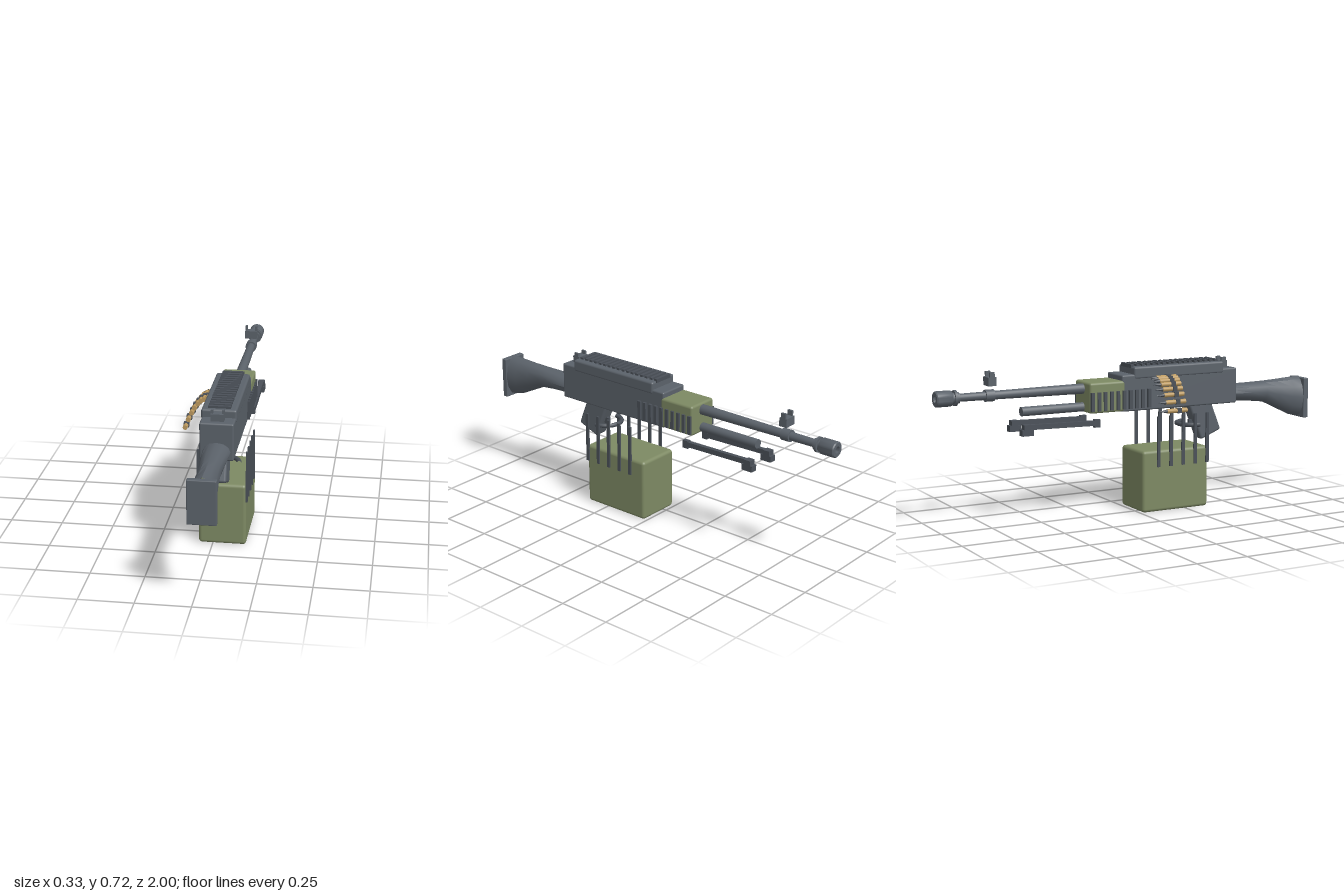
import * as THREE from 'three';
import { toCreasedNormals } from 'three/addons/utils/BufferGeometryUtils.js';
import { RoundedBoxGeometry } from 'three/addons/geometries/RoundedBoxGeometry.js';

const CX = 0.045; // centre line of the gun body

export function createModel() {
  const model = new THREE.Group();
  model.name = 'machineGun';
  const mat = (name, color) => {
    const m = new THREE.MeshStandardMaterial({ color });
    m.name = name;
    return m;
  };
  const gunmetal = mat('gunmetal', 0x5b626a);
  const darkSteel = mat('dark steel', 0x4a5058);
  const olive = mat('olive green', 0x7d8963);
  const brass = mat('brass', 0xbd9a5f);

  const add = (name, geo, material, x = 0, y = 0, z = 0, parent = model) => {
    const m = new THREE.Mesh(geo, material);
    m.name = name;
    m.position.set(x, y, z);
    parent.add(m);
    return m;
  };
  // box given by its ranges; r rounds the edges
  const block = (name, material, [x0, x1], [y0, y1], [z0, z1], r = 0, parent = model) => {
    const s = [x1 - x0, y1 - y0, z1 - z0];
    const geo = r ? new RoundedBoxGeometry(...s, 3, r) : new THREE.BoxGeometry(...s);
    return add(name, geo, material, (x0 + x1) / 2, (y0 + y1) / 2, (z0 + z1) / 2, parent);
  };
  // cylinder along z; rFront is the radius at the larger z
  const rod = (name, material, rFront, rBack, x, y, z0, z1, sides = 20, parent = model) => {
    const geo = new THREE.CylinderGeometry(rFront, rBack, z1 - z0, sides).rotateX(Math.PI / 2);
    return add(name, geo, material, x, y, (z0 + z1) / 2, parent);
  };
  const around = (h) => [CX - h, CX + h];

  // Body
  block('receiver', gunmetal, around(0.077), [0.497, 0.672], [-0.085, 0.557], 0.008);
  block('topCover', gunmetal, around(0.08), [0.65, 0.708], [-0.02, 0.48], 0.01);
  block('handguard', olive, around(0.08), [0.5, 0.646], [-0.257, -0.07], 0.012);

  // Rail ribs and cooling slats
  for (let i = 0; i < 17; i++) {
    const z = -0.015 + i * 0.0292;
    block('railRib', darkSteel, around(0.051), [0.7, 0.718], [z - 0.008, z + 0.008]);
  }
  for (let i = 0; i < 10; i++) {
    const z = 0.058 - i * 0.0337;
    block('coolingSlat', darkSteel, around(0.089), [0.51, 0.6], [z - 0.008, z + 0.008]);
  }

  // Sights: a base with two ears
  const sight = (name, z, y) => {
    const g = new THREE.Group();
    g.name = name;
    model.add(g);
    block('sightBase', gunmetal, around(0.03), [y, y + 0.04], [z - 0.02, z + 0.02], 0, g);
    for (const s of [-1, 1]) {
      const x = CX + s * 0.025;
      block('sightEar', gunmetal, [x - 0.005, x + 0.005], [y + 0.03, 0.722], [z - 0.012, z + 0.012], 0, g);
    }
  };
  sight('rearSight', 0.51, 0.665);
  sight('frontSight', -0.73, 0.658);

  // Barrel, collars, hollow muzzle and gas tube
  rod('barrel', gunmetal, 0.025, 0.018, CX, 0.612, -0.94, -0.24);
  rod('barrelCollar', gunmetal, 0.028, 0.028, CX, 0.612, -0.757, -0.714);
  rod('muzzleRing', gunmetal, 0.036, 0.036, CX, 0.612, -0.91, -0.898);
  rod('muzzleRing', gunmetal, 0.026, 0.026, CX, 0.612, -0.925, -0.885);
  const profile = [[0, 0.921], [0.034, 0.921], [0.037, 0.926], [0.037, 0.995], [0.033, 1],
    [0.016, 1], [0.016, 0.965], [0, 0.965]].map(([r, y]) => new THREE.Vector2(r, y));
  const muzzle = new THREE.LatheGeometry(profile, 24).rotateX(-Math.PI / 2);
  add('muzzle', toCreasedNormals(muzzle, 0.6), gunmetal, CX, 0.612, 0);
  rod('gasTube', gunmetal, 0.022, 0.022, CX, 0.525, -0.577, -0.24);

  // Folded bipod
  for (const s of [-1, 1]) {
    const x = CX + s * 0.072;
    const leg = block('bipodLeg', darkSteel, [x - 0.01, x + 0.01], [0.446, 0.47], [-0.57, -0.205]);
    leg.rotation.x = 0.02;
    block('bipodHinge', darkSteel, [x - 0.01, x + 0.01], [0.434, 0.472], [-0.235, -0.205]);
    block('bipodFoot', darkSteel, [x - 0.017, x + 0.017], [0.423, 0.452], [-0.61, -0.552]);
    block('bipodFootTop', darkSteel, [x - 0.017, x + 0.017], [0.45, 0.475], [-0.6, -0.565]);
  }

  // Stock: rings of z, half width, top, bottom
  const rings = [
    [0.53, 0.064, 0.582, 0.497], [0.66, 0.058, 0.583, 0.49], [0.76, 0.051, 0.585, 0.478],
    [0.84, 0.051, 0.589, 0.44], [0.92, 0.056, 0.594, 0.402], [0.98, 0.063, 0.597, 0.388],
  ];
  const stock = new THREE.CylinderGeometry(1, 1, 1, 12, rings.length - 1, true).rotateX(Math.PI / 2);
  const p = stock.attributes.position;
  for (let i = 0; i < p.count; i++) {
    const [z, w, top, bottom] = rings[Math.round((p.getZ(i) + 0.5) * (rings.length - 1))];
    p.setXYZ(i, p.getX(i) * w, (top + bottom) / 2 + p.getY(i) * (top - bottom) / 2, z);
  }
  add('stock', toCreasedNormals(stock, 0.65), gunmetal, CX);
  block('buttPlate', gunmetal, around(0.064), [0.387, 0.59], [0.972, 1], 0.004);

  // Grip, trigger and its guard
  const grip = add('grip', new RoundedBoxGeometry(0.07, 0.2, 0.123, 3, 0.012), gunmetal, CX, 0.433, 0.401);
  grip.rotation.x = -0.38;
  const guard = new THREE.TorusGeometry(0.075, 0.011, 8, 20, Math.PI).rotateX(-Math.PI / 2);
  add('triggerGuard', guard, darkSteel, CX, 0.402, 0.345);
  block('trigger', darkSteel, around(0.008), [0.39, 0.42], [0.325, 0.36]);

  // Ammunition box with side straps
  block('ammoBox', olive, around(0.111), [0, 0.302], [0.01, 0.373], 0.016);
  for (let i = 0; i < 5; i++) {
    const z = 0.366 - i * 0.068;
    for (const s of [-1, 1]) {
      const x = CX + s * 0.1135;
      block('boxStrap', darkSteel, [x - 0.0045, x + 0.0045], [0.22, 0.467], [z - 0.008, z + 0.008]);
    }
  }

  // Belt of cartridges hanging from the feed
  const belt = [[-0.049, 0.652], [-0.064, 0.648], [-0.079, 0.639], [-0.093, 0.624],
    [-0.109, 0.603], [-0.123, 0.577], [-0.139, 0.544], [-0.154, 0.504]];
  for (const [x, y] of belt) {
    const round = new THREE.Group();
    round.name = 'cartridge';
    model.add(round);
    rod('case', brass, 0.0115, 0.0105, x, y, 0.09, 0.198, 12, round);
    rod('bullet', darkSteel, 0.009, 0.001, x, y, 0.052, 0.09, 12, round);
    block('beltLink', darkSteel, [x - 0.012, x + 0.012], [y - 0.012, y + 0.012], [0.143, 0.166], 0, round);
  }
  return model;
}
